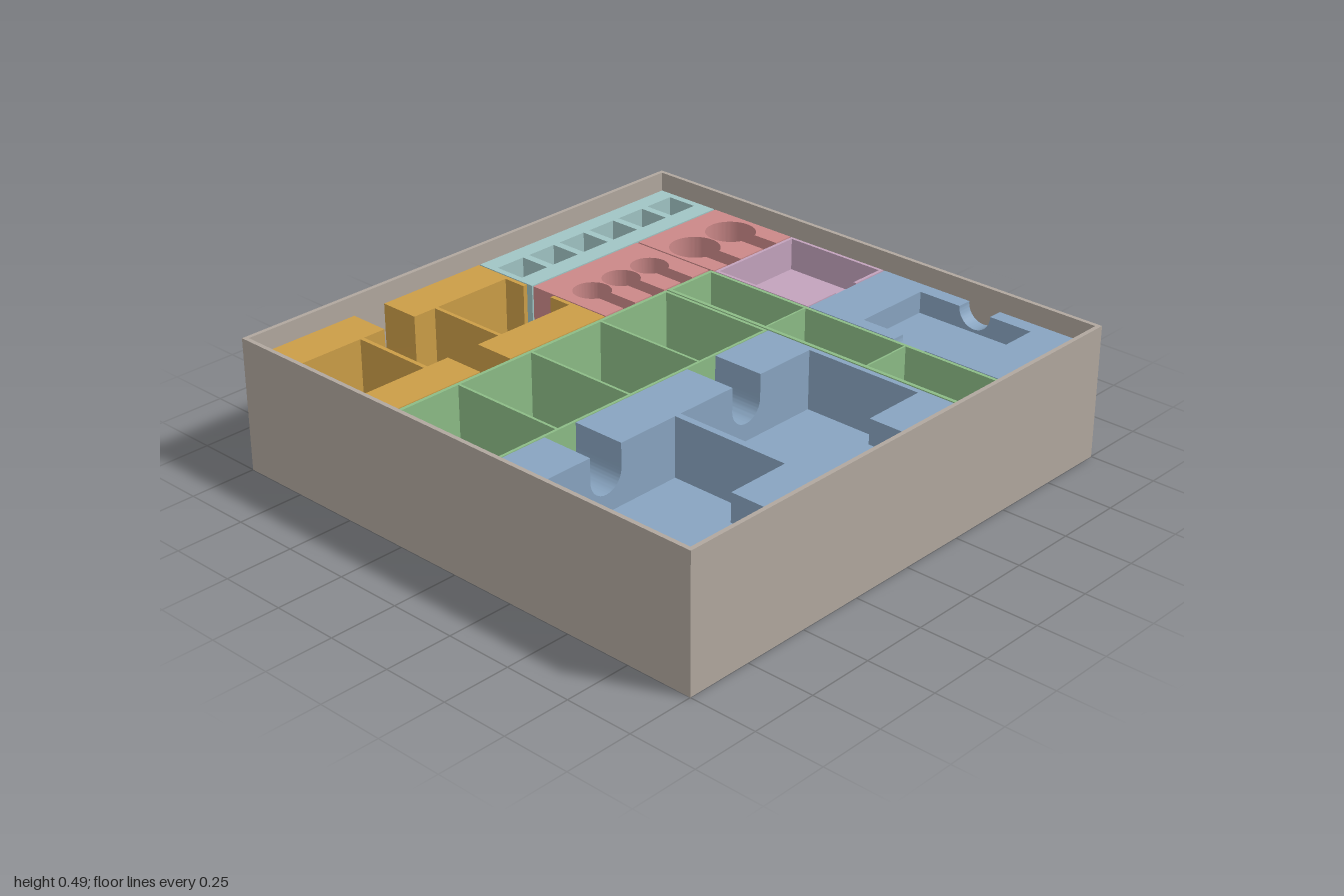
import * as THREE from 'three';
import { mergeGeometries, toCreasedNormals } from 'three/addons/utils/BufferGeometryUtils.js';

const TOP = 0.42, BASE = 0.015, WALL = 0.016;

const paint = (name, color) => {
  const m = new THREE.MeshStandardMaterial({ color });
  m.name = name;
  return m;
};

// Box given by its limits
function block(x0, x1, y0, y1, z0, z1) {
  const g = new THREE.BoxGeometry(x1 - x0, y1 - y0, z1 - z0);
  g.translate((x0 + x1) / 2, (y0 + y1) / 2, (z0 + z1) / 2);
  return g.toNonIndexed();
}

// Upright wall with U-shaped finger notches [centre, radius, bottom], running along x or z
function notchedWall(axis, a0, a1, b0, b1, floor, notches) {
  const s = new THREE.Shape();
  s.moveTo(a0, floor).lineTo(a1, floor).lineTo(a1, TOP);
  for (const [c, r, bottom] of [...notches].reverse()) {
    s.lineTo(c + r, TOP);
    s.lineTo(c + r, bottom + r);
    s.absarc(c, bottom + r, r, 0, -Math.PI, true);
    s.lineTo(c - r, TOP);
  }
  s.lineTo(a0, TOP);
  const g = new THREE.ExtrudeGeometry(s, { depth: b1 - b0, bevelEnabled: false, curveSegments: 20 });
  if (axis === 'x') g.translate(0, 0, b0);
  else g.rotateY(-Math.PI / 2).translate(b1, 0, 0);
  return toCreasedNormals(g, 0.5);
}

// Plan shape (x, -z) raised from y0 to the tray top
function raise(shape, y0) {
  const g = new THREE.ExtrudeGeometry(shape, { depth: TOP - y0, bevelEnabled: false, curveSegments: 32 });
  g.rotateX(-Math.PI / 2).translate(0, y0, 0);
  return toCreasedNormals(g, 0.5);
}

function rect(Type, x0, x1, z0, z1) {
  const s = new Type();
  s.moveTo(x0, -z1).lineTo(x1, -z1).lineTo(x1, -z0).lineTo(x0, -z0).closePath();
  return s;
}

// Tray with rectangular wells [x0, x1, z0, z1]
function wellTray([x0, x1, z0, z1], floor, wells) {
  const s = rect(THREE.Shape, x0, x1, z0, z1);
  for (const w of wells) s.holes.push(rect(THREE.Path, ...w));
  return [block(x0, x1, BASE, floor, z0, z1), raise(s, floor)];
}

// Rounded cove around the bottom of a well
function cove([x0, x1, z0, z1], floor, r) {
  const n = 8, pos = [];
  const ring = (k) => {
    const a = (k / n) * Math.PI / 2, i = r * (1 - Math.cos(a)), y = floor + 0.001 + r * (1 - Math.sin(a));
    return [[x0 + i, y, z0 + i], [x1 - i, y, z0 + i], [x1 - i, y, z1 - i], [x0 + i, y, z1 - i]];
  };
  for (let k = 0; k < n; k++) {
    const u = ring(k), d = ring(k + 1);
    for (let j = 0; j < 4; j++) {
      const m = (j + 1) % 4;
      pos.push(...u[j], ...d[j], ...d[m], ...u[j], ...d[m], ...u[m]);
    }
  }
  const g = new THREE.BufferGeometry();
  g.setAttribute('position', new THREE.Float32BufferAttribute(pos, 3));
  g.setAttribute('uv', new THREE.Float32BufferAttribute(new Array(pos.length / 3 * 2).fill(0), 2));
  g.computeVertexNormals();
  return toCreasedNormals(g, 0.5);
}

// Card tray: end walls, dividers and finger notches
function cardTray([x0, x1, z0, z1], floor, wells, [wz0, wz1], alongX, alongZ) {
  const parts = [
    block(x0, x1, BASE, floor, z0, z1),
    notchedWall('x', x0, x1, z0, wz0, floor, alongX),
    notchedWall('x', x0, x1, wz1, z1, floor, alongX),
    notchedWall('z', wz0, wz1, x0, wells[0][0], floor, alongZ),
    notchedWall('z', wz0, wz1, wells[wells.length - 1][1], x1, floor, alongZ),
  ];
  for (let i = 1; i < wells.length; i++)
    parts.push(block(wells[i - 1][1], wells[i][0], floor, TOP, wz0, wz1));
  return parts;
}

// Tray with keyhole wells open to its front edge
function keyholeTray([x0, x1, z0, z1], floor, centres, cz, r, w) {
  const s = new THREE.Shape(), f = Math.asin(w / r), neck = -cz - r * Math.cos(f);
  s.moveTo(x0, -z1);
  for (const c of centres) {
    s.lineTo(c - w, -z1);
    s.lineTo(c - w, neck);
    s.absarc(c, -cz, r, -Math.PI / 2 - f, -Math.PI / 2 + f, true);
    s.lineTo(c + w, -z1);
  }
  s.lineTo(x1, -z1).lineTo(x1, -z0).lineTo(x0, -z0);
  return [block(x0, x1, BASE, floor, z0, z1), raise(s, floor)];
}

export function createModel() {
  const model = new THREE.Group();
  model.name = 'organizerBox';
  const taupe = paint('taupe', 0xb0a79e), amber = paint('amber', 0xcb9d47), blue = paint('blue', 0x88a4c0),
    green = paint('green', 0x8cbb86), red = paint('red', 0xcb8888), teal = paint('teal', 0xa0c4c4),
    mauve = paint('mauve', 0xc2a2bc);
  const add = (name, material, parts) => {
    const mesh = new THREE.Mesh(mergeGeometries(parts), material);
    mesh.name = name;
    model.add(mesh);
  };

  // Outer box
  const H = 0.49, I = 1 - WALL;
  add('outerBox', taupe, [
    block(-1, 1, 0, BASE, -1, 1),
    block(-1, 1, BASE, H, -1, -I), block(-1, 1, BASE, H, I, 1),
    block(-1, -I, BASE, H, -I, I), block(I, 1, BASE, H, -I, I),
  ]);

  // Card trays
  add('amberCardTray', amber, cardTray([-0.98, 0.035, -0.98, -0.355], 0.17,
    [[-0.963, -0.648], [-0.632, -0.315], [-0.3, 0.018]], [-0.825, -0.51],
    [[-0.475, 0.067, 0.19]], [[-0.668, 0.067, 0.19]]));
  add('largeCardTray', blue, cardTray([-0.98, 0.332, 0.122, 0.98], 0.2,
    [[-0.96, -0.337], [-0.312, 0.312]], [0.32, 0.775],
    [[-0.648, 0.068, 0.265], [0, 0.068, 0.265]], []));
  add('smallCardTray', blue, cardTray([0.567, 0.98, 0.1, 0.98], 0.34,
    [[0.615, 0.925]], [0.303, 0.77], [], [[0.537, 0.065, 0.352]]));

  // Scooped token trays
  const floor = 0.035, rowWells = [], columnWells = [];
  for (let i = 0; i < 4; i++) rowWells.push([-0.97 + i * 0.325, -0.655 + i * 0.325, -0.337, 0.108]);
  for (let i = 0; i < 3; i++) columnWells.push([0.352, 0.55, -0.337 + i * 0.436, 0.092 + i * 0.436]);
  const scooped = (box, wells) => [...wellTray(box, floor, wells), ...wells.map((w) => cove(w, floor, 0.045))];
  add('tokenTrayRow', green, scooped([-0.98, 0.332, -0.35, 0.118], rowWells));
  add('tokenTrayColumn', green, scooped([0.338, 0.563, -0.35, 0.98], columnWells));

  // Small square pockets
  const pockets = [];
  for (let i = 0; i < 6; i++) pockets.push([0.064 + i * 0.153, 0.187 + i * 0.153, -0.913, -0.79]);
  add('pocketTray', teal, wellTray([0.04, 0.98, -0.98, -0.715], 0.31, pockets));

  // Round piece trays
  add('smallRoundTray', red, keyholeTray([0.04, 0.56, -0.708, -0.357], 0.25, [0.156, 0.3, 0.444], -0.535, 0.069, 0.03));
  add('largeRoundTray', red, keyholeTray([0.567, 0.98, -0.708, -0.34], 0.25, [0.673, 0.865], -0.528, 0.093, 0.036));

  // Shallow open tray with a notch in its front wall
  const f = 0.3;
  add('openTray', mauve, [
    block(0.567, 0.98, BASE, f, -0.334, 0.094),
    block(0.567, 0.98, f, TOP, -0.334, -0.322),
    block(0.567, 0.579, f, TOP, -0.322, 0.082), block(0.968, 0.98, f, TOP, -0.322, 0.082),
    notchedWall('x', 0.567, 0.98, 0.082, 0.094, f, [[0.773, 0.055, f + 0.01]]),
  ]);
  return model;
}
